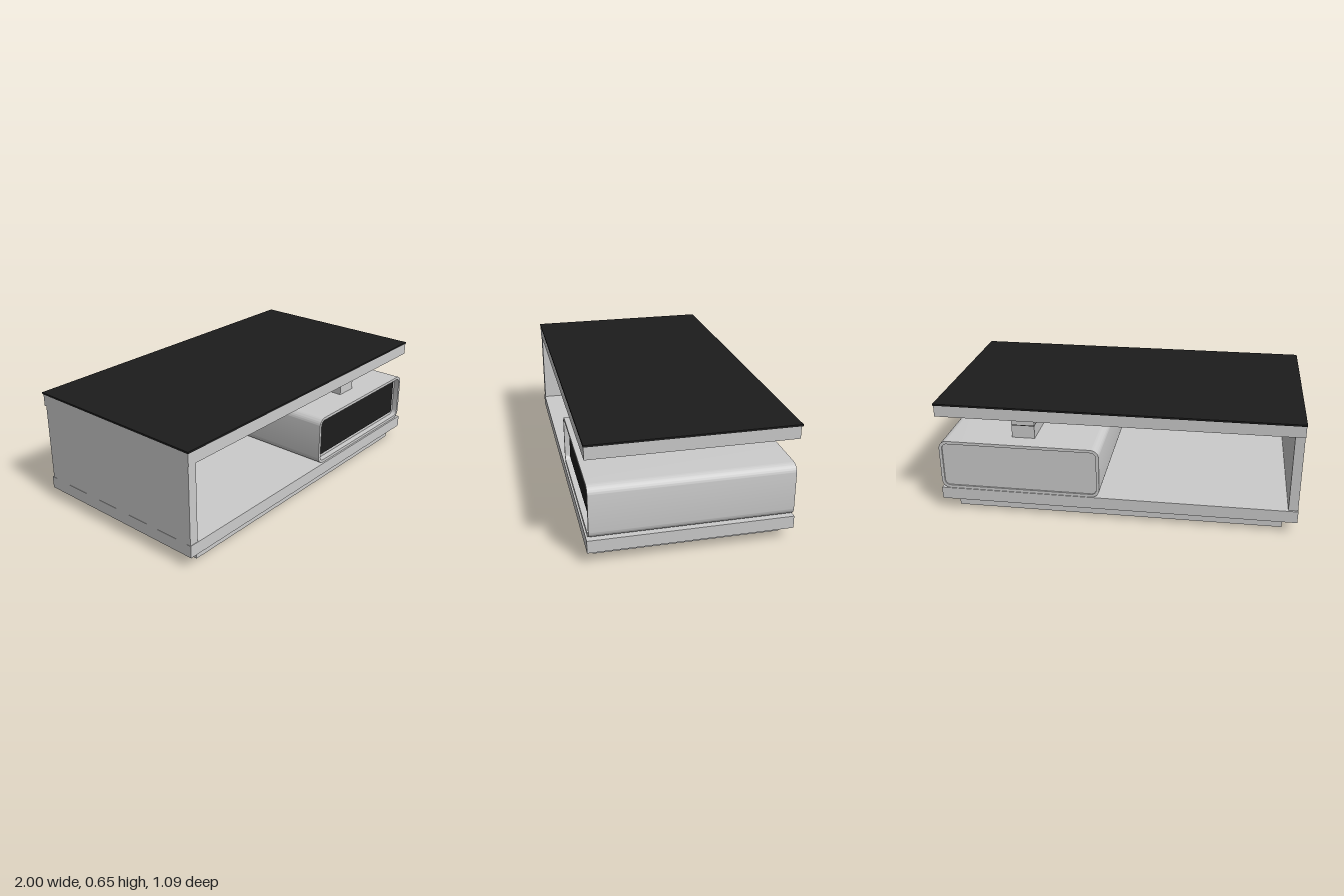
import * as THREE from 'three';
import { toCreasedNormals } from 'three/addons/utils/BufferGeometryUtils.js';

const grey = new THREE.MeshStandardMaterial({ color: 0xcccccc });
const black = new THREE.MeshStandardMaterial({ color: 0x1c1c1c });

// Box given by its extents on each axis
function block(name, [x0, x1], [y0, y1], [z0, z1], material = grey) {
  const mesh = new THREE.Mesh(new THREE.BoxGeometry(x1 - x0, y1 - y0, z1 - z0), material);
  mesh.name = name;
  mesh.position.set((x0 + x1) / 2, (y0 + y1) / 2, (z0 + z1) / 2);
  return mesh;
}

// Draws a rounded rectangle into a Shape or Path
function roundedRect(path, x0, x1, y0, y1, r) {
  path.moveTo(x0 + r, y0);
  path.lineTo(x1 - r, y0);
  path.absarc(x1 - r, y0 + r, r, -Math.PI / 2, 0);
  path.lineTo(x1, y1 - r);
  path.absarc(x1 - r, y1 - r, r, 0, Math.PI / 2);
  path.lineTo(x0 + r, y1);
  path.absarc(x0 + r, y1 - r, r, Math.PI / 2, Math.PI);
  path.lineTo(x0, y0 + r);
  path.absarc(x0 + r, y0 + r, r, Math.PI, Math.PI * 1.5);
  return path;
}

function extrude(name, shape, z0, z1, material = grey) {
  const geometry = new THREE.ExtrudeGeometry(shape, { depth: z1 - z0, bevelEnabled: false, curveSegments: 10 });
  const mesh = new THREE.Mesh(toCreasedNormals(geometry, 0.6), material);
  mesh.name = name;
  mesh.position.z = z0;
  return mesh;
}

// Rounded drawer housing: open sleeve, recessed core and dark front
function createDrawer() {
  const drawer = new THREE.Group();
  drawer.name = 'drawerUnit';
  const [x0, x1, y0, y1, r, t] = [0.09, 0.995, 0.138, 0.428, 0.047, 0.017];
  const inner = [x0 + t, x1 - t, y0 + t, y1 - t, r - t];

  const sleeve = roundedRect(new THREE.Shape(), x0, x1, y0, y1, r);
  sleeve.holes.push(roundedRect(new THREE.Path(), ...inner));
  drawer.add(extrude('drawerSleeve', sleeve, -0.533, 0.533));
  drawer.add(extrude('drawerCore', roundedRect(new THREE.Shape(), ...inner), -0.525, 0.5));
  const front = roundedRect(new THREE.Shape(), 0.138, 0.952, 0.177, 0.402, 0.006);
  drawer.add(extrude('drawerFront', front, 0.498, 0.507, black));
  return drawer;
}

export function createModel() {
  const table = new THREE.Group();
  table.name = 'coffeeTable';

  // Top, side and base
  table.add(
    block('glassTop', [-1, 1], [0.645, 0.655], [-0.545, 0.545], black),
    block('topSlab', [-0.998, 0.998], [0.578, 0.645], [-0.537, 0.543]),
    block('sidePanel', [-0.997, -0.945], [0.138, 0.578], [-0.525, 0.54]),
    block('baseSlab', [-0.998, 0.998], [0.069, 0.138], [-0.537, 0.543]),
    block('plinth', [-0.92, 0.915], [0.009, 0.069], [-0.49, 0.505]),
  );

  table.add(createDrawer());

  // Support between drawer and top, split by a dark seam
  table.add(
    block('lowerSupport', [0.47, 0.6], [0.428, 0.501], [-0.427, 0.414]),
    block('supportSeam', [0.47, 0.6], [0.501, 0.506], [-0.427, 0.414], black),
    block('upperSupport', [0.47, 0.6], [0.506, 0.578], [-0.427, 0.414]),
  );

  // Feet
  const footGeometry = new THREE.CylinderGeometry(0.01, 0.01, 0.01, 16);
  for (const x of [-0.82, 0.02, 0.865]) {
    for (const z of [-0.45, -0.19, 0.045]) {
      const foot = new THREE.Mesh(footGeometry, grey);
      foot.name = 'foot';
      foot.position.set(x, 0.005, z);
      table.add(foot);
    }
  }
  return table;
}
